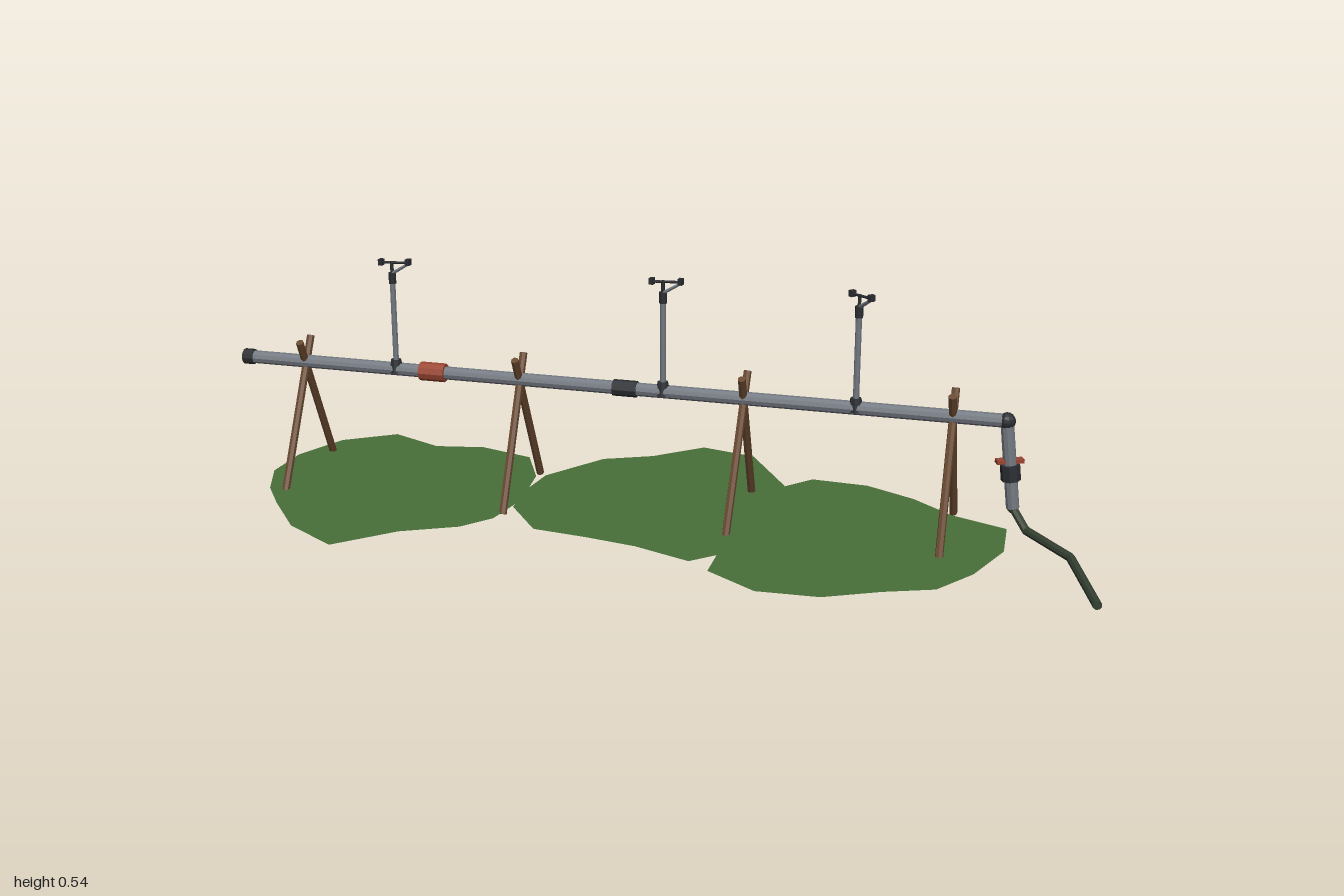
import * as THREE from 'three';

const mat = (name, color, extra = {}) => {
  const m = new THREE.MeshStandardMaterial({ color, flatShading: true, ...extra });
  m.name = name;
  return m;
};

export function createModel() {
  const root = new THREE.Group();
  root.name = 'irrigationLine';
  const steel = mat('pipeGrey', 0x737981);
  const dark = mat('fittingBlack', 0x2b2d31);
  const wood = mat('woodBrown', 0x694930);
  const red = mat('couplingRed', 0x9a4632);
  const rubber = mat('hoseGreen', 0x354032);
  const grass = mat('grassGreen', 0x48703a, { side: THREE.DoubleSide });
  const PY = 0.279, PZ = -0.016; // pipe axis
  const V = (x, y, z) => new THREE.Vector3(x, y, z);

  const add = (name, geo, material, parent = root) => {
    const m = new THREE.Mesh(geo, material);
    m.name = name;
    parent.add(m);
    return m;
  };
  // Cylinder between two points
  const rod = (name, a, b, r, material, sides = 8, parent = root, r2 = r) => {
    const d = b.clone().sub(a);
    const m = add(name, new THREE.CylinderGeometry(r2, r, d.length(), sides), material, parent);
    m.position.copy(a).add(b).multiplyScalar(0.5);
    m.quaternion.setFromUnitVectors(V(0, 1, 0), d.normalize());
    return m;
  };
  const along = (name, x0, x1, r, material) =>
    rod(name, V(x0, PY, PZ), V(x1, PY, PZ), r, material, 10);

  // Main pipe with end cap and couplings
  along('mainPipe', -0.99, 0.765, 0.015, steel);
  along('endCap', -1, -0.975, 0.018, dark);
  along('redCoupling', -0.56, -0.5, 0.0215, red);
  along('blackCoupling', -0.102, -0.047, 0.0185, dark);
  add('elbow', new THREE.SphereGeometry(0.0185, 10, 8), dark).position.set(0.765, PY, PZ);

  // Inlet pipe and valve
  const top = V(0.765, PY, PZ), bottom = V(0.788, 0.084, PZ);
  const at = y => top.clone().lerp(bottom, (PY - y) / (PY - 0.084));
  rod('inletPipe', bottom, top, 0.0145, steel, 10);
  rod('valveBody', at(0.147), at(0.182), 0.0215, dark, 8);
  const handle = add('valveHandle', new THREE.BoxGeometry(0.06, 0.009, 0.018), red);
  handle.position.copy(at(0.19));
  handle.rotation.y = 0.4;

  // Hose lying on the ground
  const hose = [bottom, V(0.82, 0.042, 0.003), V(0.92, 0.04, 0.12), V(0.985, 0.04, 0.345)];
  for (let i = 0; i < 3; i++) rod('hose', hose[i], hose[i + 1], 0.0095, rubber);
  for (let i = 0; i < 3; i++)
    add('hoseJoint', new THREE.SphereGeometry(i ? 0.0095 : 0.0125, 8, 6), rubber).position.copy(hose[i]);

  // Crossed wooden supports: bottom x, top x
  for (const [x0, x1] of [[-0.852, -0.844], [-0.323, -0.322], [0.188, 0.196], [0.65, 0.651]]) {
    const frame = new THREE.Group();
    frame.name = 'crossedSupport';
    root.add(frame);
    for (const s of [-1, 1])
      rod('supportLeg', V(x0, 0.004, PZ + s * 0.134), V(x1, 0.333, PZ - s * 0.03), 0.009, wood, 7, frame);
  }

  // Sprinklers: x, head yaw
  for (const [x, yaw] of [[-0.62, -0.12], [0.012, -0.18], [0.442, -0.8]]) {
    const s = new THREE.Group();
    s.name = 'sprinkler';
    s.position.set(x, 0, PZ);
    root.add(s);
    rod('saddle', V(0, 0.272, 0), V(0, 0.302, 0), 0.0175, dark, 8, s, 0.012);
    rod('riser', V(0, 0.295, 0), V(0, 0.485, 0), 0.0068, steel, 8, s);
    rod('collar', V(0, 0.482, 0), V(0, 0.507, 0), 0.009, dark, 8, s);
    const head = new THREE.Group();
    head.name = 'sprinklerHead';
    head.rotation.y = yaw;
    s.add(head);
    rod('nozzle', V(0, 0.505, 0), V(0.041, 0.53, 0), 0.0045, steel, 6, head, 0.0035);
    rod('spindle', V(0, 0.505, 0), V(0, 0.533, 0), 0.004, dark, 6, head);
    rod('swingArm', V(-0.027, 0.528, 0), V(0.043, 0.534, 0), 0.003, dark, 6, head);
    for (const [bx, by] of [[-0.027, 0.529], [0.042, 0.535]])
      add('armWeight', new THREE.BoxGeometry(0.01, 0.014, 0.013), dark, head).position.set(bx, by, 0);
  }

  // Flat grass patches as x, z outlines
  const outlines = [
    [-0.93, 0.015, -0.92, -0.1, -0.86, -0.22, -0.745, -0.295, -0.62, -0.24, -0.505, -0.262,
      -0.375, -0.225, -0.32, -0.11, -0.305, 0.04, -0.33, 0.16, -0.385, 0.225, -0.505, 0.285,
      -0.62, 0.392, -0.745, 0.315, -0.835, 0.2, -0.89, 0.12],
    [-0.315, -0.02, -0.3, -0.12, -0.2, -0.26, -0.09, -0.31, 0.015, -0.4, 0.145, -0.37,
      0.255, -0.2, 0.29, -0.1, 0.29, 0.04, 0.25, 0.18, 0.145, 0.277, 0.015, 0.23,
      -0.1, 0.21, -0.225, 0.195, -0.31, 0.085],
    [0.17, -0.1, 0.25, -0.19, 0.31, -0.257, 0.44, -0.25, 0.555, -0.195, 0.65, -0.12,
      0.775, -0.072, 0.78, 0.055, 0.73, 0.19, 0.665, 0.285, 0.56, 0.325, 0.445, 0.382,
      0.31, 0.388, 0.195, 0.315, 0.195, 0.2, 0.16, 0.04],
  ];
  for (const o of outlines) {
    const pts = [];
    for (let i = 0; i < o.length; i += 2) pts.push(new THREE.Vector2(o[i], -o[i + 1]));
    const patch = add('grassPatch', new THREE.ShapeGeometry(new THREE.Shape(pts)), grass);
    patch.rotation.x = -Math.PI / 2;
    patch.position.y = 0.01;
  }
  return root;
}
